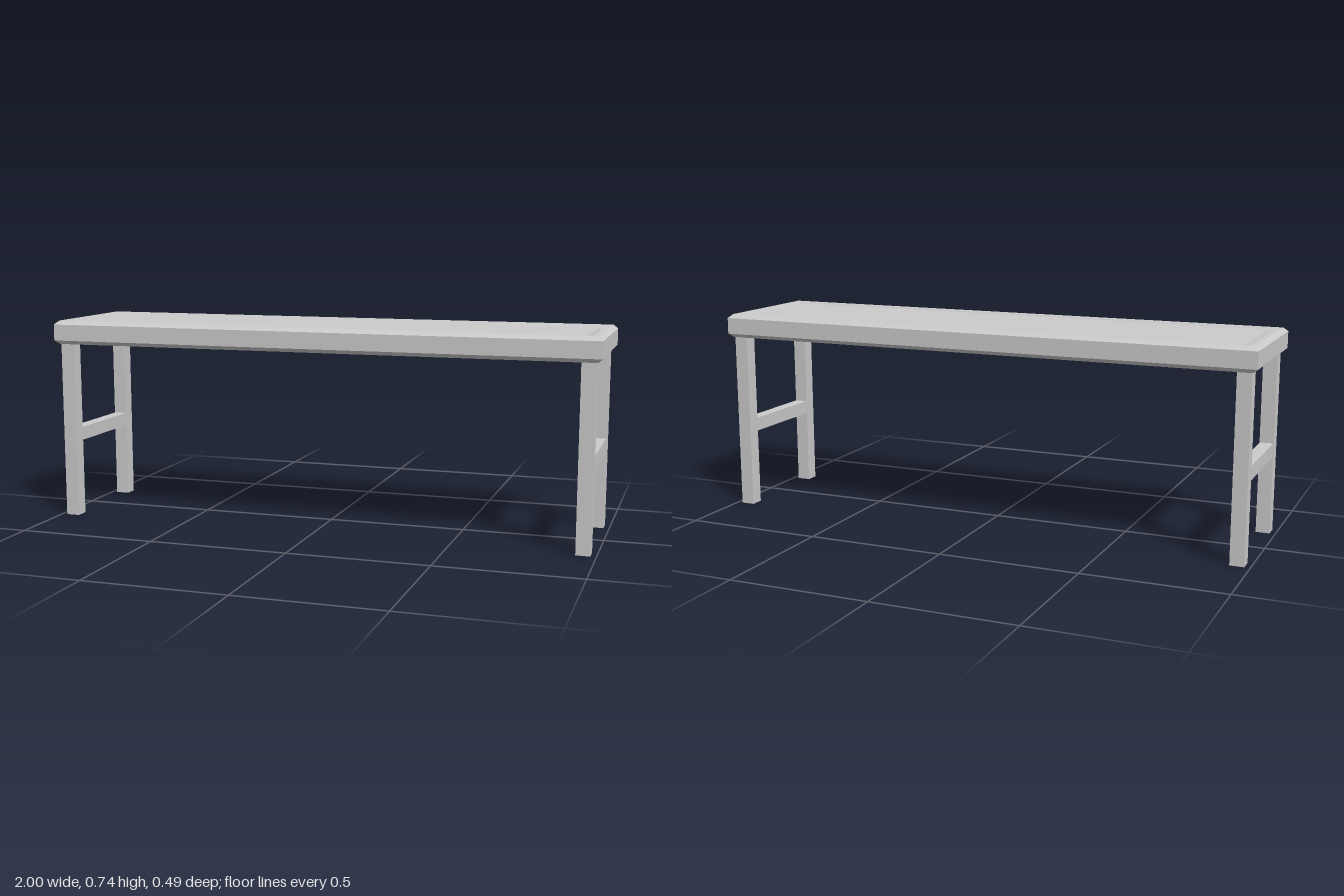
import * as THREE from 'three';

const material = new THREE.MeshStandardMaterial({ color: 0xcccccc, flatShading: true });

function box(name, w, h, d, x, y, z) {
  const mesh = new THREE.Mesh(new THREE.BoxGeometry(w, h, d), material);
  mesh.name = name;
  mesh.position.set(x, y, z);
  return mesh;
}

// Sweeps an [inset, height] profile around a rectangle and caps both ends
function framedSlab(halfX, halfZ, profile) {
  const pos = [];
  const corners = [[1, 1], [1, -1], [-1, -1], [-1, 1]];
  const rings = profile.map(([inset, y]) =>
    corners.map(([sx, sz]) => [sx * (halfX - inset), y, sz * (halfZ - inset)]));
  const quad = (a, b, c, d) => pos.push(...a, ...b, ...c, ...a, ...c, ...d);
  for (let i = 0; i < rings.length - 1; i++) {
    const lo = rings[i], hi = rings[i + 1];
    for (let k = 0; k < 4; k++) {
      const n = (k + 1) % 4;
      quad(lo[k], lo[n], hi[n], hi[k]);
    }
  }
  const first = rings[0], last = rings[rings.length - 1];
  quad(first[3], first[2], first[1], first[0]);
  quad(...last);
  const geometry = new THREE.BufferGeometry();
  geometry.setAttribute('position', new THREE.Float32BufferAttribute(pos, 3));
  geometry.computeVertexNormals();
  return geometry;
}

export function createModel() {
  const table = new THREE.Group();
  table.name = 'table';

  // Top: chamfered edge, raised rim, groove and inset panel
  const top = new THREE.Mesh(framedSlab(1, 0.244, [
    [0.016, 0.648], [0, 0.662], [0, 0.721], [0.015, 0.735],
    [0.03, 0.735], [0.041, 0.718], [0.055, 0.718], [0.059, 0.73],
  ]), material);
  top.name = 'tableTop';
  table.add(top);

  // Each end: two square legs joined by a stretcher
  for (const sx of [1, -1]) {
    const side = sx > 0 ? 'left' : 'right';
    const x = sx * 0.955;
    for (const sz of [1, -1]) {
      const name = side + (sz > 0 ? 'Front' : 'Back') + 'Leg';
      table.add(box(name, 0.05, 0.65, 0.05, x, 0.325, sz * 0.203));
    }
    table.add(box(side + 'Stretcher', 0.046, 0.05, 0.36, x, 0.305, 0));
  }
  return table;
}
